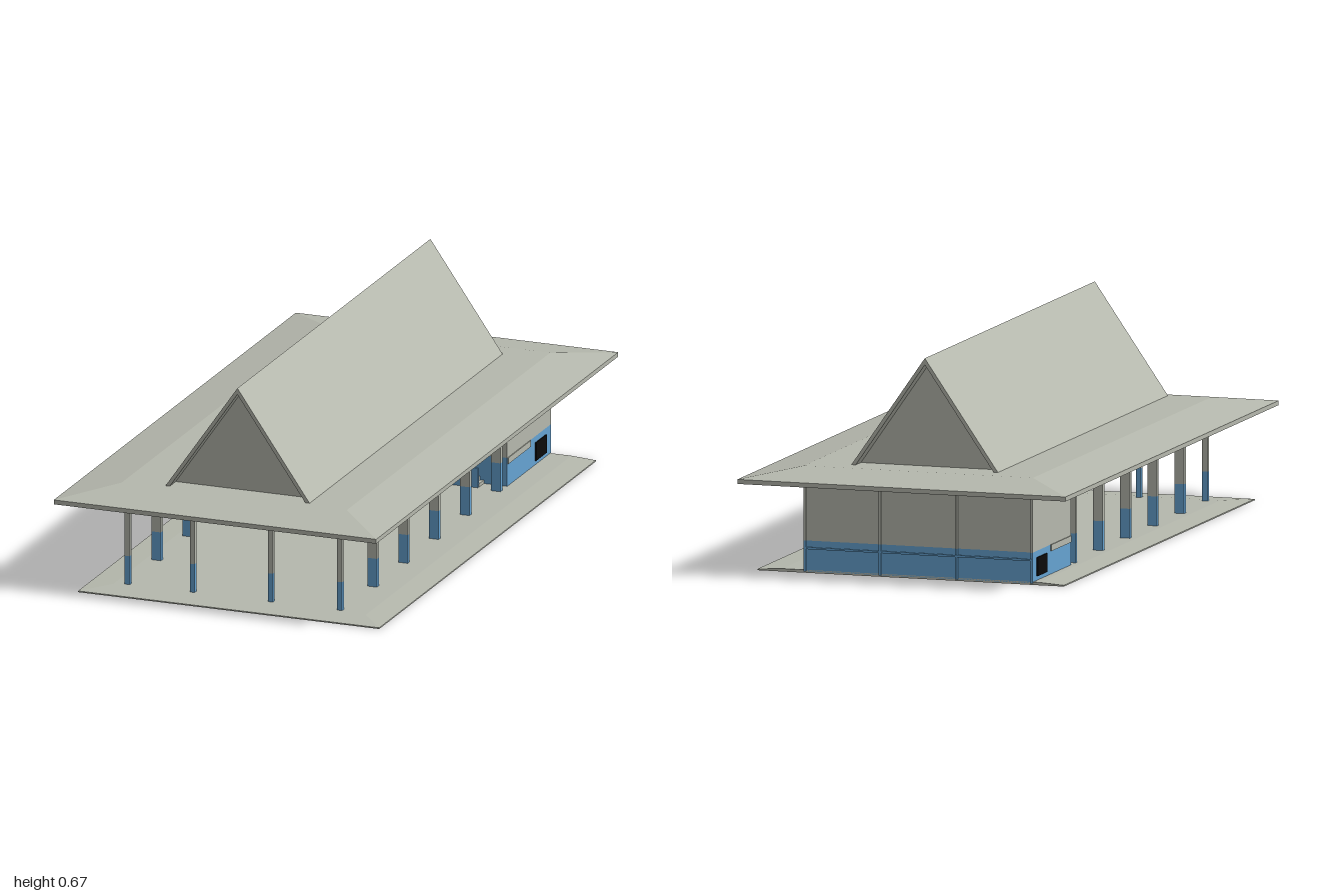
import * as THREE from 'three';

export function createModel() {
  const model = new THREE.Group();
  const mat = (name, color, side = THREE.FrontSide) => {
    const m = new THREE.MeshStandardMaterial({ color, side });
    m.name = name;
    return m;
  };
  const grey = mat('concrete grey', 0xb6b9ae);
  const blue = mat('painted blue', 0x66a3d2);
  const red = mat('stage red', 0x4d0c0e);
  const black = mat('opening black', 0x0c0c0c);

  const add = (name, geo, material) => {
    const mesh = new THREE.Mesh(geo, material);
    mesh.name = name;
    model.add(mesh);
    return mesh;
  };
  // Box given by its limits on each axis
  const box = (name, material, x0, x1, y0, y1, z0, z1) => {
    const mesh = add(name, new THREE.BoxGeometry(x1 - x0, y1 - y0, z1 - z0), material);
    mesh.position.set((x0 + x1) / 2, (y0 + y1) / 2, (z0 + z1) / 2);
    return mesh;
  };
  const shape = (pts) => new THREE.Shape(pts.map(([x, y]) => new THREE.Vector2(x, y)));
  const extrude = (pts, depth) =>
    new THREE.ExtrudeGeometry(shape(pts), { depth, bevelEnabled: false });

  // Stack of rectangles [x0, x1, z0, z1, y] joined by flat faces
  const stack = (rings) => {
    const pos = [];
    const corners = rings.map(([x0, x1, z0, z1, y]) =>
      [[x0, y, z1], [x1, y, z1], [x1, y, z0], [x0, y, z0]]);
    const quad = (a, b, c, d) => pos.push(...a, ...b, ...c, ...a, ...c, ...d);
    for (let r = 0; r < corners.length - 1; r++) {
      for (let i = 0; i < 4; i++) {
        const j = (i + 1) % 4;
        quad(corners[r][i], corners[r][j], corners[r + 1][j], corners[r + 1][i]);
      }
    }
    quad(...corners[corners.length - 1]);
    quad(...[...corners[0]].reverse());
    const geo = new THREE.BufferGeometry();
    geo.setAttribute('position', new THREE.Float32BufferAttribute(pos, 3));
    geo.computeVertexNormals();
    return geo;
  };

  // Floor slab with a barely sloping rim
  add('floorSlab', stack([
    [-0.47, 0.52, -0.84, 0.95, 0],
    [-0.47, 0.52, -0.84, 0.95, 0.004],
    [-0.39, 0.44, -0.84, 0.86, 0.009],
  ]), grey);

  // Wide eaves with hipped edge and flat top
  add('eavesRoof', stack([
    [-0.53, 0.53, -1, 1, 0.29],
    [-0.53, 0.53, -1, 1, 0.304],
    [-0.37, 0.37, -0.84, 0.84, 0.331],
  ]), grey);

  // Steep upper roof: two panels and recessed gable walls
  const gable = add('gableRoof', extrude([
    [-0.235, 0.33], [-0.221, 0.33], [0.002, 0.652], [0.226, 0.33], [0.24, 0.33], [0.002, 0.672],
  ], 1.595), grey);
  gable.position.z = -0.775;
  const infill = add('gableWalls', extrude([[-0.221, 0.33], [0.226, 0.33], [0.002, 0.652]], 1.495), grey);
  infill.position.z = -0.725;

  // Columns with painted feet
  const column = (name, x, z, w) => {
    box(name + 'Foot', blue, x - w / 2, x + w / 2, 0.005, 0.1, z - 0.008, z + 0.008);
    box(name, grey, x - w / 2, x + w / 2, 0.1, 0.29, z - 0.008, z + 0.008);
  };
  for (const s of [-1, 1]) {
    for (let i = 0; i < 6; i++) {
      const corner = i === 0;
      column('sideColumn', s * (corner ? 0.349 : 0.355), 0.84 - i * 0.255, corner ? 0.017 : 0.031);
    }
  }
  column('frontColumn', -0.135, 0.84, 0.015);
  column('frontColumn', 0.122, 0.84, 0.015);

  // Rear block, open to the front with splayed stage walls
  const plan = [
    [0.37, 0.485], [0.37, 0.84], [-0.37, 0.84], [-0.37, 0.485],
    [-0.232, 0.485], [-0.185, 0.75], [0.185, 0.75], [0.232, 0.485],
  ];
  const storey = (name, material, y0, y1) => {
    const geo = extrude(plan, y1 - y0);
    geo.rotateX(-Math.PI / 2).translate(0, y0, 0);
    add(name, geo, material);
  };
  storey('rearBlockBase', blue, 0.005, 0.1);
  storey('rearBlockWalls', grey, 0.1, 0.29);
  box('stageBackdrop', red, -0.185, 0.185, 0.1, 0.29, -0.75, -0.745);

  for (const s of [-1, 1]) {
    // Grey lining at the foot of the splayed walls
    const lining = box('stageWallFoot', grey, -0.002, 0.002, 0.07, 0.1, -0.134, 0.134);
    lining.position.set(s * 0.2075, 0.085, -0.6175);
    lining.rotation.y = s * Math.atan2(0.047, 0.265);
    // Lower paint line towards the front, and dark side openings
    box('sidePaintBreak', grey, s * 0.371 - 0.002, s * 0.371 + 0.002, 0.08, 0.1, -0.675, -0.486);
    box('sideOpening', black, s * 0.371 - 0.003, s * 0.371 + 0.003, 0.022, 0.08, -0.805, -0.715);
    // Steps climbing to the stage from each side
    for (let i = 0; i < 5; i++) {
      const outer = 0.293 - i * 0.0125;
      const x0 = s > 0 ? 0.225 : -outer;
      const x1 = s > 0 ? outer : -0.225;
      box('stageStep', grey, x0, x1, 0.007 + i * 0.0125, 0.0195 + i * 0.0125, -0.485, -0.445);
    }
  }

  // Stage platform with overhanging lip
  box('stageFloor', blue, -0.231, 0.231, 0.006, 0.07, -0.75, -0.48);
  const apron = extrude([
    [-0.485, 0.007], [-0.44, 0.007], [-0.44, 0.05], [-0.42, 0.05],
    [-0.4, 0.059], [-0.4, 0.072], [-0.485, 0.072],
  ], 0.456);
  apron.rotateY(-Math.PI / 2).translate(0.23, 0, 0);
  add('stageApron', apron, blue);
  box('stepScreen', blue, -0.295, 0.292, 0.007, 0.071, -0.446, -0.438);

  // Rear wall pilasters and ledge
  for (const x of [-0.366, -0.123, 0.123, 0.366]) {
    box('rearPilasterFoot', blue, x - 0.004, x + 0.004, 0.005, 0.1, -0.845, -0.838);
    box('rearPilaster', grey, x - 0.004, x + 0.004, 0.1, 0.29, -0.845, -0.838);
  }
  box('rearLedge', blue, -0.37, 0.37, 0.074, 0.08, -0.846, -0.838);

  return model;
}
